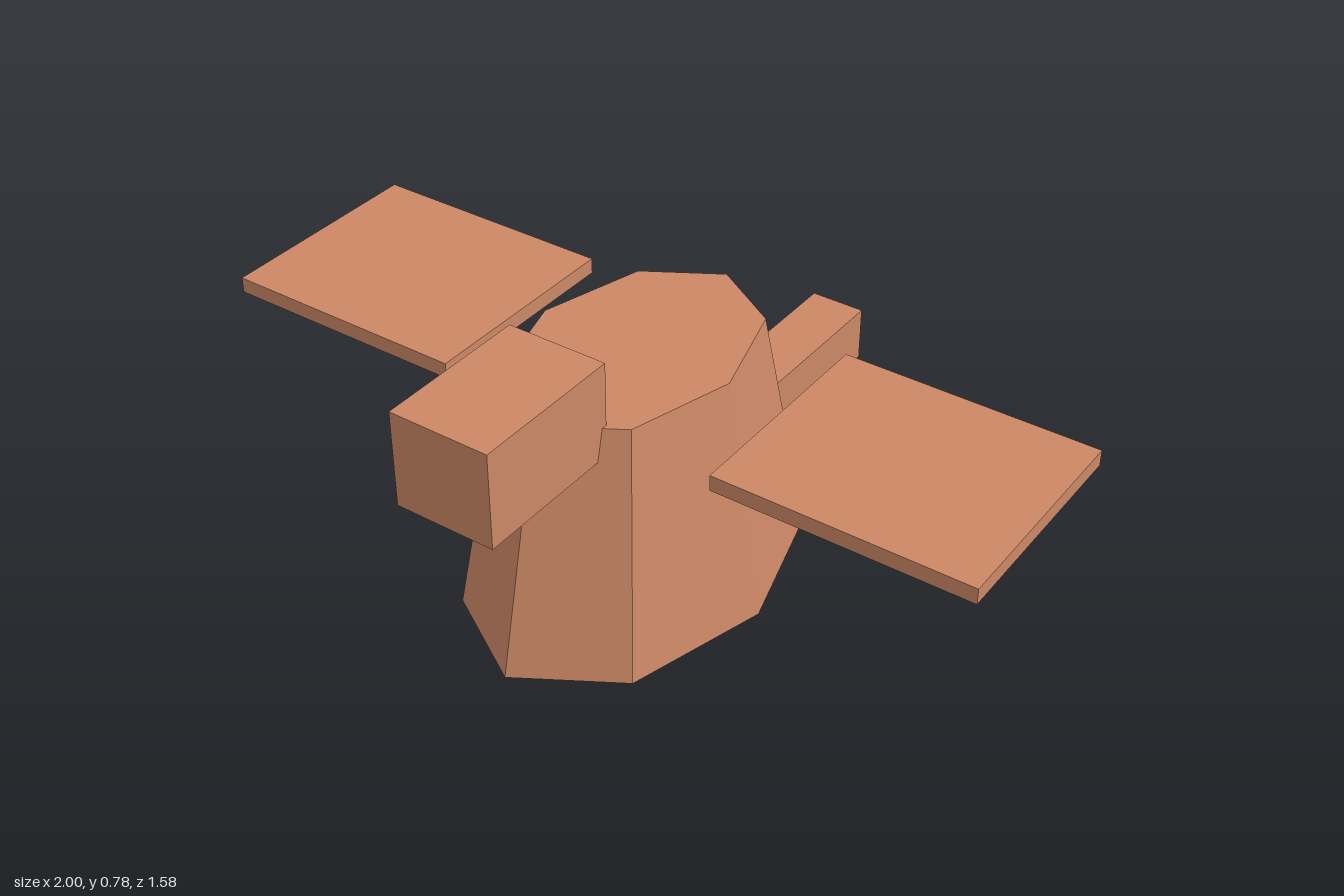
import * as THREE from 'three';

export function createModel() {
  const model = new THREE.Group();
  const clay = new THREE.MeshStandardMaterial({ color: 0xcc8866, flatShading: true });
  clay.name = 'clay';

  const add = (name, geometry, x, y, z) => {
    const mesh = new THREE.Mesh(geometry, clay);
    mesh.name = name;
    mesh.position.set(x, y, z);
    model.add(mesh);
    return mesh;
  };

  // Tapered eight-sided body, stretched front to back
  const body = new THREE.CylinderGeometry(0.255, 0.35, 0.62, 8);
  body.scale(1, 1, 1.457);
  add('body', body, 0, 0.31, 0.12);

  // Block head at the front and bar tail sunk into the back
  add('head', new THREE.BoxGeometry(0.254, 0.24, 0.39), 0, 0.66, 0.595);
  add('tail', new THREE.BoxGeometry(0.146, 0.146, 0.55), 0, 0.187, -0.515);

  // Mirrored flat wings, free of the body
  for (const side of [1, -1]) {
    add(side > 0 ? 'leftWing' : 'rightWing',
      new THREE.BoxGeometry(0.638, 0.04, 0.556), side * 0.681, 0.54, 0.076);
  }
  return model;
}
